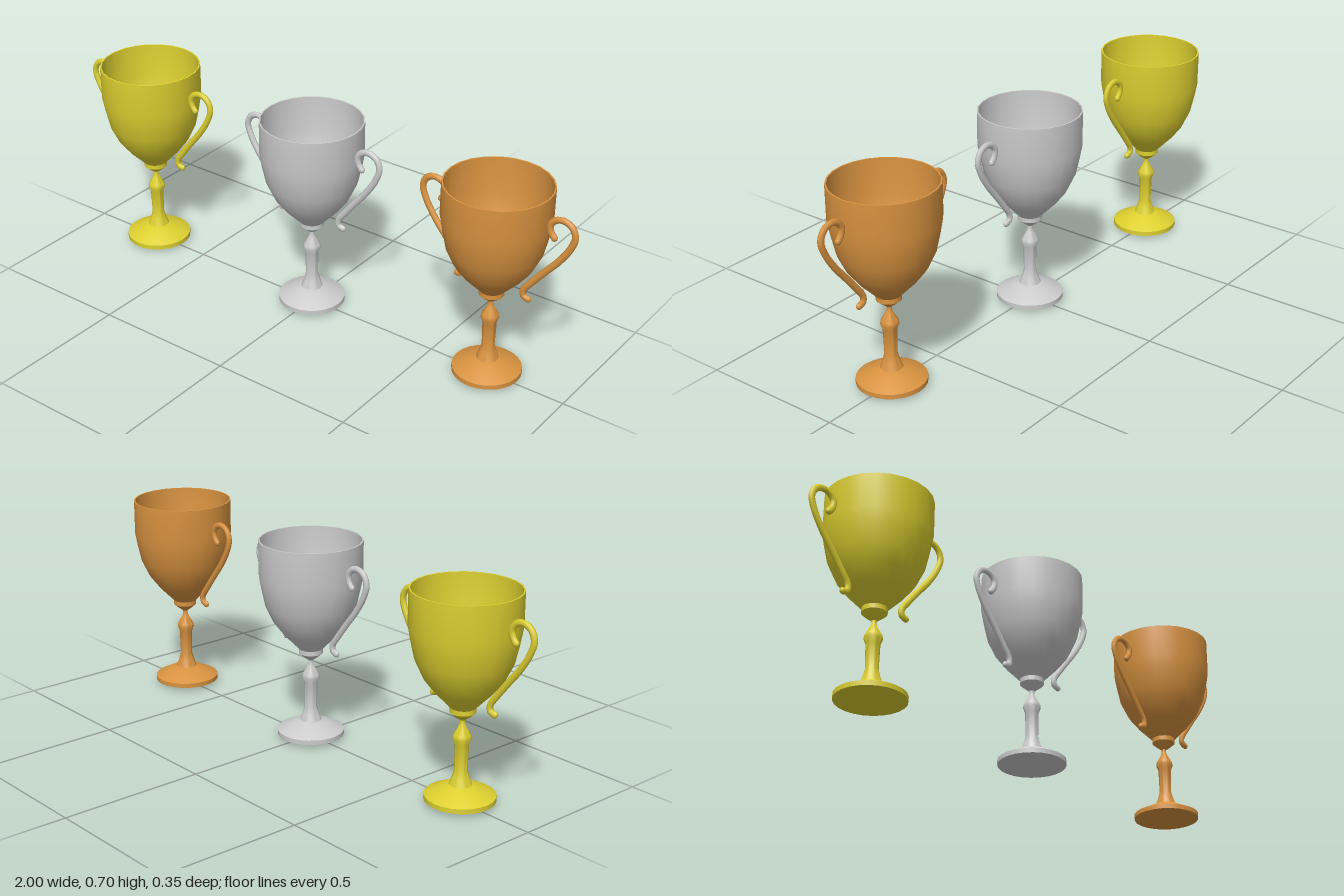
import * as THREE from 'three';
import { toCreasedNormals } from 'three/addons/utils/BufferGeometryUtils.js';

const v2 = (pts) => pts.map(([x, y]) => new THREE.Vector2(x, y));

// Lathe around y from [radius, height] pairs, keeping sharp edges sharp
const lathe = (pts) => toCreasedNormals(new THREE.LatheGeometry(v2(pts), 24), 0.75);

// Foot with slightly domed underside, then the stem with its knop and thin neck
const STEM = [
  [0, 0], [0.06, 0.002], [0.115, 0.012], [0.115, 0.028], [0.055, 0.058], [0.037, 0.063],
  [0.028, 0.088], [0.021, 0.113], [0.023, 0.2], [0.03, 0.218], [0.028, 0.23],
  [0.012, 0.258], [0.008, 0.27], [0.009, 0.282],
];

// Outer wall up to the rim, then the inner wall down to the bottom of the cup
const BOWL = [
  [0.009, 0.28], [0.026, 0.293], [0.041, 0.306], [0.041, 0.322], [0.065, 0.347], [0.093, 0.376],
  [0.127, 0.42], [0.155, 0.48], [0.168, 0.54], [0.176, 0.585], [0.176, 0.705],
  [0.171, 0.705], [0.17, 0.585], [0.15, 0.482], [0.121, 0.424], [0.087, 0.381],
  [0.055, 0.35], [0.03, 0.333], [0, 0.326],
];

// Centre line of a handle: curl beside the rim, wide sweep, curl at the foot
const HANDLE = [
  [0.203, 0.583], [0.19, 0.6], [0.187, 0.625], [0.203, 0.645], [0.232, 0.652], [0.26, 0.639],
  [0.273, 0.608], [0.26, 0.565], [0.225, 0.508], [0.178, 0.45], [0.137, 0.398],
  [0.112, 0.363], [0.113, 0.342], [0.13, 0.335],
];

function createHandle(material) {
  const handle = new THREE.Group();
  handle.name = 'handle';
  const curve = new THREE.CatmullRomCurve3(HANDLE.map(([x, y]) => new THREE.Vector3(x, y, 0)));
  const tube = new THREE.Mesh(new THREE.TubeGeometry(curve, 56, 0.0115, 8), material);
  tube.name = 'handleSweep';
  handle.add(tube);
  // Rounded ends
  for (const t of [0, 1]) {
    const tip = new THREE.Mesh(new THREE.SphereGeometry(0.0115, 10, 8), material);
    tip.name = 'handleTip';
    tip.position.copy(curve.getPoint(t));
    handle.add(tip);
  }
  handle.scale.z = 0.78; // flattened section
  return handle;
}

function createCup(name, color) {
  const cup = new THREE.Group();
  cup.name = name;
  const material = new THREE.MeshStandardMaterial({ color });
  const stem = new THREE.Mesh(lathe(STEM), material);
  stem.name = 'footAndStem';
  const bowl = new THREE.Mesh(lathe(BOWL), material);
  bowl.name = 'bowl';
  const leftHandle = createHandle(material);
  leftHandle.name = 'leftHandle';
  const rightHandle = createHandle(material);
  rightHandle.name = 'rightHandle';
  rightHandle.rotation.y = Math.PI;
  cup.add(stem, bowl, leftHandle, rightHandle);
  return cup;
}

export function createModel() {
  const model = new THREE.Group();
  model.name = 'trophyCups';
  // Three equal cups in a row
  [['goldCup', 0xddd030], ['silverCup', 0xcccccc], ['bronzeCup', 0xd99340]].forEach(([name, color], i) => {
    const cup = createCup(name, color);
    cup.position.x = (i - 1) * 0.715;
    model.add(cup);
  });
  return model;
}
